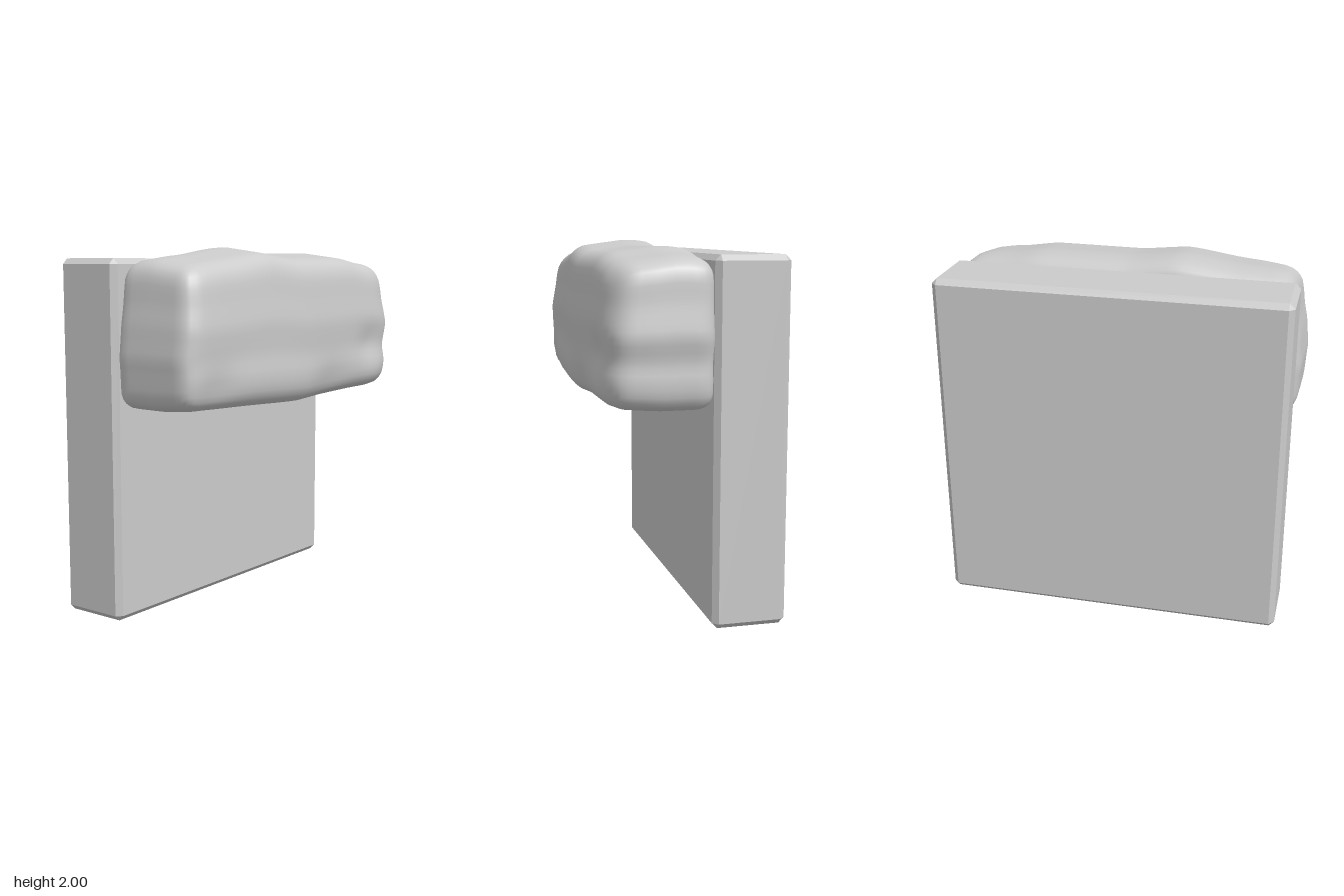
import * as THREE from 'three';
import { mergeVertices } from 'three/addons/utils/BufferGeometryUtils.js';
import { ConvexGeometry } from 'three/addons/geometries/ConvexGeometry.js';

const grey = () => new THREE.MeshStandardMaterial({ color: 0xcccccc });

// Smoothly interpolate a short list of [t, value] pairs
function along(points, t) {
  if (t <= points[0][0]) return points[0][1];
  for (let i = 1; i < points.length; i++) {
    const [t0, a] = points[i - 1], [t1, b] = points[i];
    if (t <= t1) return THREE.MathUtils.lerp(a, b, THREE.MathUtils.smoothstep(t, t0, t1) * 0.4 + 0.6 * (t - t0) / (t1 - t0));
  }
  return points[points.length - 1][1];
}

// Box with every edge chamfered: three points per corner
function chamferedBox(w, h, d, c) {
  const points = [];
  for (const x of [-1, 1]) for (const y of [-1, 1]) for (const z of [-1, 1]) {
    for (let axis = 0; axis < 3; axis++) {
      const inset = [c, c, c];
      inset[axis] = 0;
      points.push(new THREE.Vector3(x * (w / 2 - inset[0]), y * (h / 2 - inset[1]), z * (d / 2 - inset[2])));
    }
  }
  return new ConvexGeometry(points);
}

// Soft block: a rounded box whose six sides follow uneven outlines
function softBlock() {
  const half = new THREE.Vector3(1, 0.42, 0.3), r = 0.1;
  const inner = half.clone().subScalar(r);
  let geometry = new THREE.BoxGeometry(2, 0.84, 0.6, 40, 20, 14);
  geometry.deleteAttribute('normal');
  geometry.deleteAttribute('uv');
  geometry = mergeVertices(geometry, 1e-4);

  const left = [[-1, 0.985], [-0.45, 0.995], [-0.3, 1], [0.1, 0.985], [0.5, 0.96], [1, 0.935]];
  const right = [[-1, 0.965], [-0.6, 0.98], [-0.35, 0.972], [0, 1], [0.5, 0.975], [1, 0.965]];
  const top = [[-1, 1.925], [-0.7, 1.955], [-0.31, 2], [0, 1.97], [0.52, 1.975], [0.75, 1.945], [1, 1.92]];
  const bottom = [[-1, 1.16], [-0.6, 1.15], [0, 1.13], [0.6, 1.15], [1, 1.155]];
  const front = [[-1, 0.44], [-0.75, 0.455], [0, 0.485], [0.6, 0.475], [0.8, 0.475], [1, 0.43]];
  const back = [[-1, -0.09], [0, -0.11], [0.6, -0.12], [1, -0.1]];
  const lean = [[-1, -0.01], [-0.6, 0.005], [-0.3, -0.006], [0.1, 0], [0.6, -0.025], [1, -0.05]];
  const dent = (u, v, u0, v0, size) => Math.exp(-(((u - u0) / size) ** 2) - ((v - v0) / 0.3) ** 2);

  const position = geometry.attributes.position;
  const p = new THREE.Vector3(), core = new THREE.Vector3();
  for (let i = 0; i < position.count; i++) {
    p.fromBufferAttribute(position, i);
    core.copy(p).clamp(inner.clone().negate(), inner);
    p.sub(core).setLength(r).add(core).divide(half);
    const { x: u, y: v, z: w } = p;

    const x = u < 0 ? u * (along(left, v) - 0.015 * (1 - w) / 2) : u * (along(right, v) - 0.02 * Math.max(0, w - 0.3));
    const crown = 0.035 * Math.max(0, Math.abs(w + 0.3) - 0.15);
    const sag = 0.02 * Math.max(0, w);
    const y = THREE.MathUtils.lerp(along(bottom, u) + sag, along(top, u) - crown, (v + 1) / 2);
    const dents = 0.025 * (dent(u, v, -0.8, -0.75, 0.15) + dent(u, v, 0.25, -0.8, 0.2) + dent(u, v, 0.72, -0.3, 0.14));
    const z = THREE.MathUtils.lerp(along(back, u), along(front, u) + along(lean, v) - dents, (w + 1) / 2);
    position.setXYZ(i, x, y, z);
  }
  geometry.computeVertexNormals();
  return geometry;
}

export function createModel() {
  const group = new THREE.Group();

  // Upright slab
  const slab = new THREE.Mesh(chamferedBox(1.935, 1.94, 0.4, 0.03), grey());
  slab.name = 'backSlab';
  slab.position.set(0.005, 0.97, -0.29);
  group.add(slab);

  // Pillow-like block on the upper front
  const pillow = new THREE.Mesh(softBlock(), grey());
  pillow.name = 'cushion';
  group.add(pillow);

  return group;
}
